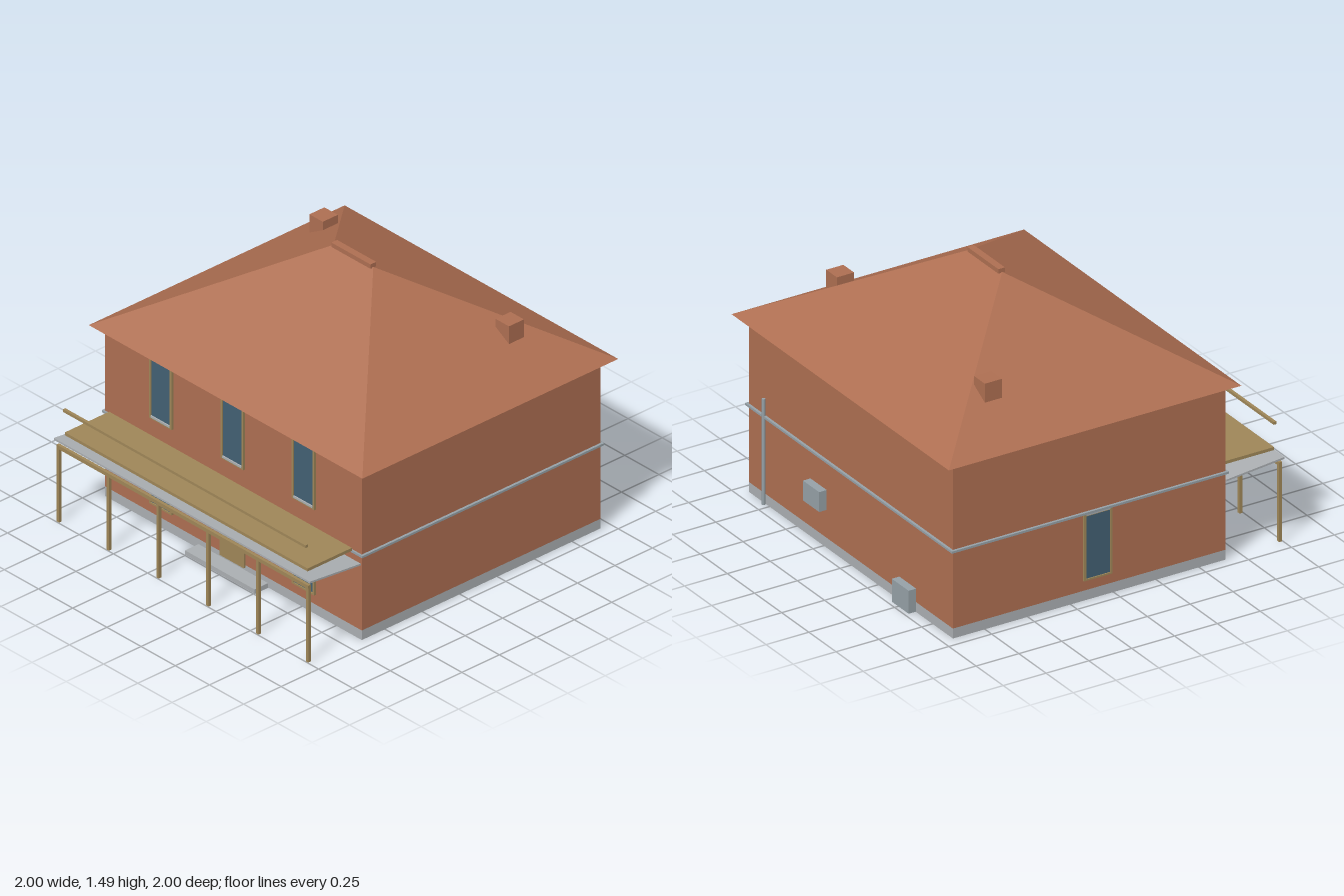
import * as THREE from 'three';

const mat = (name, color) => {
  const m = new THREE.MeshStandardMaterial({ color });
  m.name = name;
  return m;
};

export function createModel() {
  const brick = mat('brick red', 0xad6e51);
  const stone = mat('pale stone', 0xaaaeb1);
  const metal = mat('blue grey metal', 0x95a0a6);
  const timber = mat('tan timber', 0x9e8658);
  const glass = mat('dark blue glass', 0x426073);

  const house = new THREE.Group();
  house.name = 'house';

  // Box given by its limits on each axis
  const box = (name, material, [x0, x1], [y0, y1], [z0, z1], parent = house) => {
    const mesh = new THREE.Mesh(new THREE.BoxGeometry(x1 - x0, y1 - y0, z1 - z0), material);
    mesh.position.set((x0 + x1) / 2, (y0 + y1) / 2, (z0 + z1) / 2);
    mesh.name = name;
    parent.add(mesh);
    return mesh;
  };

  const W = 0.938, ZF = 0.655, ZB = -0.937, EAVE = 0.975;

  // Foundation, walls and front step
  box('foundation', stone, [-W, W], [0, 0.055], [ZB, ZF]);
  box('walls', brick, [-W, W], [0.055, EAVE], [ZB, ZF]);
  box('frontStep', stone, [-0.255, 0.253], [0, 0.025], [ZF, 0.745]);

  // Hipped roof: four slopes meeting at a short ridge, closed underneath
  const a = [-1, EAVE, 0.708], b = [1, EAVE, 0.708], c = [1, EAVE, -1], d = [-1, EAVE, -1];
  const r0 = [-0.145, 1.47, -0.146], r1 = [0.145, 1.47, -0.146];
  const tris = [a, b, r1, a, r1, r0, b, c, r1, c, d, r0, c, r0, r1, d, a, r0, a, d, c, a, c, b];
  const roofGeo = new THREE.BufferGeometry();
  roofGeo.setAttribute('position', new THREE.Float32BufferAttribute(tris.flat(), 3));
  roofGeo.computeVertexNormals();
  const roof = new THREE.Mesh(roofGeo, brick);
  roof.name = 'roof';
  house.add(roof);
  box('ridgeCap', brick, [-0.143, 0.143], [1.465, 1.49], [-0.167, -0.129]);

  // Chimneys
  for (const x of [-0.683, 0.678]) {
    box('chimney', brick, [x - 0.049, x + 0.049], [1.13, 1.235], [-0.62, -0.52]);
  }

  // String course around the walls
  const band = [0.479, 0.491], out = 0.014;
  box('bandFront', metal, [-W - out, W + out], band, [ZF, ZF + 0.01]);
  box('bandBack', metal, [-W - out, W + out], band, [ZB - out, ZB]);
  for (const s of [-1, 1]) {
    const xs = [s * W, s * (W + out)].sort((p, q) => p - q);
    box('bandSide', metal, xs, band, [ZB - out, ZF + 0.01]);
  }

  // Window centred on x, standing on y = 0, facing +z from z = 0
  const makeWindow = (stoneY) => {
    const g = new THREE.Group();
    const w = 0.083, h = 0.37, t = 0.013;
    g.name = 'window';
    for (const s of [-1, 1]) {
      const xs = [s * w, s * (w - t)].sort((p, q) => p - q);
      box('frameSide', timber, xs, [0, h], [0, 0.012], g);
    }
    box('frameTop', timber, [-w + t, w - t], [h - t, h], [0, 0.012], g);
    box('frameBottom', timber, [-w + t, w - t], [0, 0.009], [0, 0.012], g);
    box('pane', glass, [-w + t, w - t], [0.009, h - t], [0, 0.006], g);
    box('stoneStrip', stone, [-w + t, w - t], [stoneY, stoneY + 0.011], [0, 0.013], g);
    house.add(g);
    return g;
  };
  for (const x of [-0.523, 0, 0.52]) makeWindow(0.006).position.set(x, 0.602, ZF);
  for (const x of [-0.523, 0.52]) makeWindow(0.36).position.set(x, 0.112, ZF);
  const sideWindow = makeWindow(0.36);
  sideWindow.position.set(-W, 0.112, -0.095);
  sideWindow.rotation.y = -Math.PI / 2;

  // Front door
  box('frontDoor', timber, [-0.09, 0.086], [0.04, 0.44], [ZF, ZF + 0.01]);

  // Porch: posts, beam and canopy sloping down towards the wall
  for (let i = 0; i < 6; i++) {
    const x = -0.911 + i * 0.3645;
    box('porchPost', timber, [x - 0.009, x + 0.009], [0, 0.425], [0.979, 0.996]);
  }
  box('porchBeam', timber, [-0.92, 0.92], [0.42, 0.441], [0.979, 0.996]);
  const section = new THREE.Shape([
    new THREE.Vector2(-1, 0.462), new THREE.Vector2(-0.66, 0.43),
    new THREE.Vector2(-0.66, 0.44), new THREE.Vector2(-1, 0.473),
  ]);
  const canopyGeo = new THREE.ExtrudeGeometry(section, { depth: 1.872, bevelEnabled: false });
  canopyGeo.rotateY(Math.PI / 2).translate(-0.936, 0, 0);
  const canopy = new THREE.Mesh(canopyGeo, stone);
  canopy.name = 'porchCanopy';
  house.add(canopy);

  // Balcony deck and rail
  box('balconyDeck', timber, [-0.887, 0.887], [0.498, 0.515], [0.675, 0.97]);
  box('balconyRail', timber, [-0.887, 0.887], [0.638, 0.653], [0.968, 0.984]);

  // Rear pipe and wall boxes
  const pipe = new THREE.Mesh(new THREE.CylinderGeometry(0.009, 0.009, 0.585, 12), metal);
  pipe.name = 'rearPipe';
  pipe.position.set(0.787, 0.2925, -0.948);
  house.add(pipe);
  box('upperWallBox', metal, [0.223, 0.372], [0.21, 0.32], [-0.981, ZB]);
  box('lowerWallBox', metal, [-0.6, -0.445], [0.003, 0.13], [-0.981, ZB]);

  return house;
}
